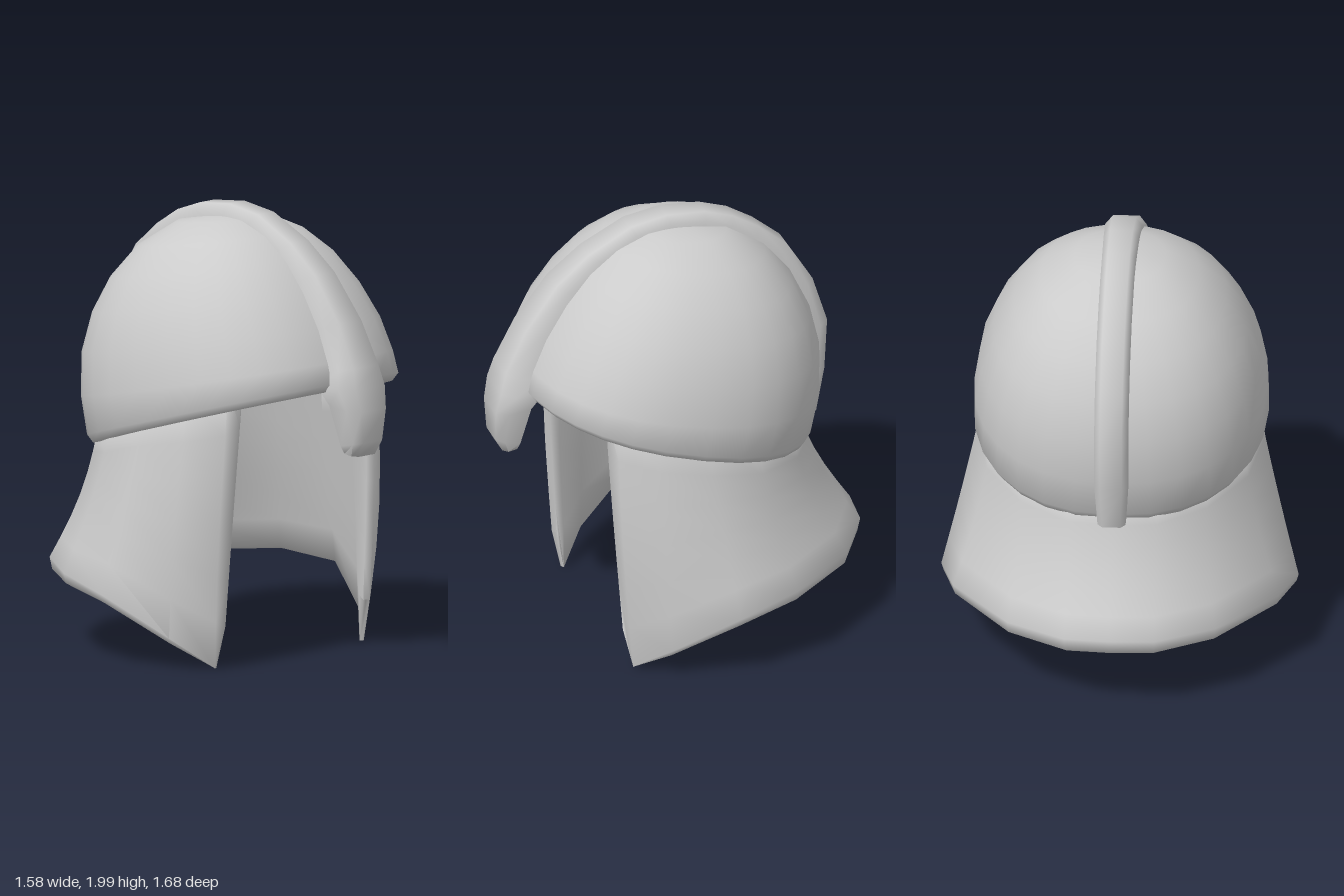
import * as THREE from 'three';
import { mergeVertices, toCreasedNormals } from 'three/addons/utils/BufferGeometryUtils.js';

const material = new THREE.MeshStandardMaterial({ color: 0xcccccc, side: THREE.DoubleSide });

// Skin a row of closed loops of [x, y, z] points, optionally capping both ends.
function loft(name, loops, capped, crease) {
  const n = loops[0].length;
  const index = [];
  const quad = (a, b, c, d) => index.push(a, b, c, a, c, d);
  for (let i = 0; i < loops.length - 1; i++) {
    for (let j = 0; j < n; j++) {
      const k = (j + 1) % n;
      quad(i * n + j, i * n + k, (i + 1) * n + k, (i + 1) * n + j);
    }
  }
  if (capped) {
    const e = (loops.length - 1) * n;
    for (let j = 0; j < n / 2 - 1; j++) {
      quad(n - 1 - j, n - 2 - j, j + 1, j);
      quad(e + j, e + j + 1, e + n - 2 - j, e + n - 1 - j);
    }
  }
  const geometry = new THREE.BufferGeometry();
  geometry.setAttribute('position', new THREE.Float32BufferAttribute(loops.flat(2), 3));
  geometry.setIndex(index);
  const mesh = new THREE.Mesh(toCreasedNormals(mergeVertices(geometry), crease), material);
  mesh.name = name;
  return mesh;
}

// Bowl: tilted rings given by front z, front y, back z, back y, half width.
function bowl() {
  const rings = [
    [0.72, 1.25, -0.61, 0.89, 0.652],
    [0.69, 1.37, -0.65, 1.1, 0.648],
    [0.625, 1.51, -0.655, 1.3, 0.622],
    [0.525, 1.66, -0.615, 1.48, 0.56],
    [0.41, 1.79, -0.54, 1.64, 0.47],
    [0.28, 1.885, -0.42, 1.79, 0.35],
    [0.14, 1.94, -0.25, 1.905, 0.2],
    [0.001, 1.955, -0.001, 1.955, 0.001],
  ];
  const ringLoop = ([zf, yf, zb, yb, w]) => Array.from({ length: 28 }, (_, j) => {
    const a = (j / 28) * Math.PI * 2;
    // The front half is a little squarer than the back
    const power = Math.cos(a) > 0 ? 0.85 : 0.9;
    const round = (v) => Math.sign(v) * Math.abs(v) ** power;
    const c = round(Math.cos(a));
    return [w * round(Math.sin(a)), (yf + yb) / 2 + (c * (yf - yb)) / 2, (zf + zb) / 2 + (c * (zf - zb)) / 2];
  });
  const shrink = ([zf, yf, zb, yb, w], t, drop) => [
    Math.max(zf - t, 0.001), yf - drop, Math.min(zb + t, -0.001), yb - drop, Math.max(w - t, 0.001)];
  // Inner lining, rounded rim, then the outer shell
  const inner = rings.map((r, i) => shrink(r, 0.08, i ? 0.06 : -0.03)).reverse();
  const rim = [shrink(rings[0], 0.06, 0.005), shrink(rings[0], 0.025, 0.005)];
  const shell = rings.map((r, i) => (i ? r : shrink(r, 0, -0.03)));
  return loft('bowl', [...inner, ...rim, ...shell].map(ringLoop), false, 1.6);
}

// Crest running over the bowl and ending in the nose guard:
// outer z, outer y, inner z, inner y, half width.
function crest() {
  const stations = [
    [0.8, 0.955, 0.74, 0.965, 0.08],
    [0.835, 1.02, 0.73, 1.0, 0.095],
    [0.84, 1.16, 0.69, 1.18, 0.125],
    [0.82, 1.26, 0.64, 1.26, 0.148],
    [0.795, 1.35, 0.64, 1.32, 0.127],
    [0.7, 1.54, 0.54, 1.48, 0.115],
    [0.55, 1.74, 0.42, 1.66, 0.1],
    [0.4, 1.865, 0.3, 1.79, 0.09],
    [0.2, 1.97, 0.15, 1.87, 0.082],
    [0.03, 2.0, 0, 1.9, 0.078],
    [-0.15, 1.985, -0.13, 1.88, 0.075],
    [-0.28, 1.94, -0.24, 1.83, 0.075],
    [-0.4, 1.865, -0.34, 1.76, 0.075],
    [-0.53, 1.755, -0.46, 1.66, 0.075],
    [-0.65, 1.56, -0.56, 1.5, 0.075],
    [-0.718, 1.34, -0.6, 1.3, 0.075],
    [-0.705, 1.1, -0.58, 1.08, 0.075],
    [-0.67, 0.89, -0.59, 0.89, 0.062],
  ];
  const section = [[-1, 0], [-1, 0.68], [-0.65, 1], [0.65, 1], [1, 0.68], [1, 0]];
  return loft('crestAndNoseGuard', stations.map(([zo, yo, zi, yi, w]) =>
    section.map(([u, v]) => [u * w, yi + (yo - yi) * v, zi + (zo - zi) * v])), true, 1.3);
}

// Neck guard and cheek pieces: one flared sheet from cheek edge to cheek edge.
function neckGuard() {
  // Left half, front to back: top point, bottom point, inward bow, top and hem thickness
  const half = [
    [[0.43, 1.28, 0.45], [0.48, 0.2, 0.385], -0.012, 0.035, 0.03],
    [[0.48, 1.27, 0.41], [0.49, 0.01, 0.34], -0.05, 0.09, 0.02],
    [[0.57, 1.2, 0.25], [0.655, 0.15, 0.215], -0.03, 0.09, 0.05],
    [[0.61, 1.12, 0.03], [0.79, 0.33, -0.06], 0.005, 0.07, 0.06],
    [[0.56, 1.03, -0.22], [0.72, 0.385, -0.35], 0.02, 0.05, 0.07],
    [[0.41, 0.98, -0.43], [0.46, 0.39, -0.67], 0.03, 0.04, 0.08],
    [[0.2, 0.95, -0.55], [0.2, 0.4, -0.82], 0.035, 0.04, 0.085],
  ];
  const mirror = ([top, bottom, ...rest]) =>
    [[-top[0], top[1], top[2]], [-bottom[0], bottom[1], bottom[2]], ...rest];
  const back = [[0, 0.95, -0.58], [0, 0.405, -0.84], 0.035, 0.04, 0.085];
  const columns = [...half, back, ...half.map(mirror).reverse()];
  const rows = 6;
  const loops = columns.map(([top, bottom, bow, topThick, hem]) => {
    const outer = [];
    const inner = [];
    const drop = Math.max(0, hem - 0.03) * 1.3;
    const place = (t, depth, lower) => {
      const p = top.map((v, k) => v + (bottom[k] - v) * t);
      const d = Math.hypot(p[0], p[2] - 0.1);
      const s = bow * Math.sin(Math.PI * t) + depth;
      return [p[0] - (p[0] / d) * s, p[1] - lower, p[2] + ((0.1 - p[2]) / d) * s];
    };
    for (let r = 0; r <= rows; r++) {
      const t = r / rows;
      outer.push(place(t, 0, 0));
      inner.unshift(place(t, topThick + (hem - topThick) * t ** 4, drop * t ** 3));
    }
    // Rolled lip along the hem
    const lip = [place(1, hem * 0.15, drop * 0.85), place(1, hem * 0.6, drop * 1.2)];
    return [...outer, ...lip, ...inner];
  });
  return loft('neckAndCheekGuard', loops, true, 1.6);
}

export function createModel() {
  const helmet = new THREE.Group();
  helmet.name = 'helmet';
  helmet.add(bowl(), crest(), neckGuard());
  return helmet;
}
